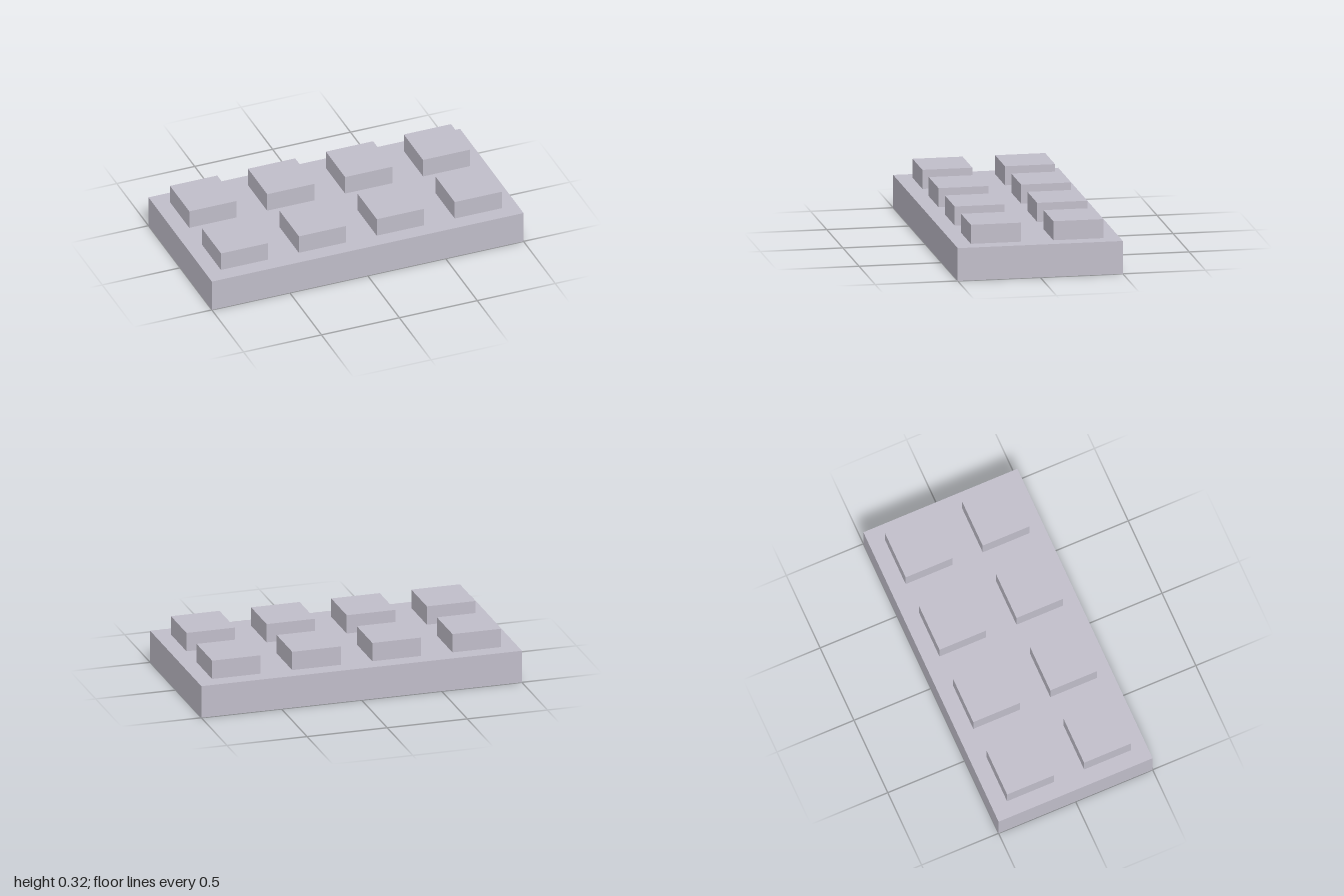
import * as THREE from 'three';

const plateHeight = 0.2;
const studWidth = 0.303;
const studHeight = 0.116;

export function createModel() {
  const model = new THREE.Group();
  model.name = 'studdedPlate';

  const paleGrey = new THREE.MeshStandardMaterial({ color: 0xc0bdc9 });
  paleGrey.name = 'paleGrey';

  // Adds a box whose underside rests at the given height
  function addBox(name, width, height, depth, x, bottom, z) {
    const mesh = new THREE.Mesh(new THREE.BoxGeometry(width, height, depth), paleGrey);
    mesh.name = name;
    mesh.position.set(x, bottom + height / 2, z);
    model.add(mesh);
  }

  // Base plate
  addBox('basePlate', 2, plateHeight, 1, 0, 0, 0);

  // Two rows of four square studs
  for (const z of [-0.25, 0.25]) {
    for (const x of [-0.75, -0.25, 0.25, 0.75]) {
      addBox('stud', studWidth, studHeight, studWidth, x, plateHeight, z);
    }
  }

  return model;
}
